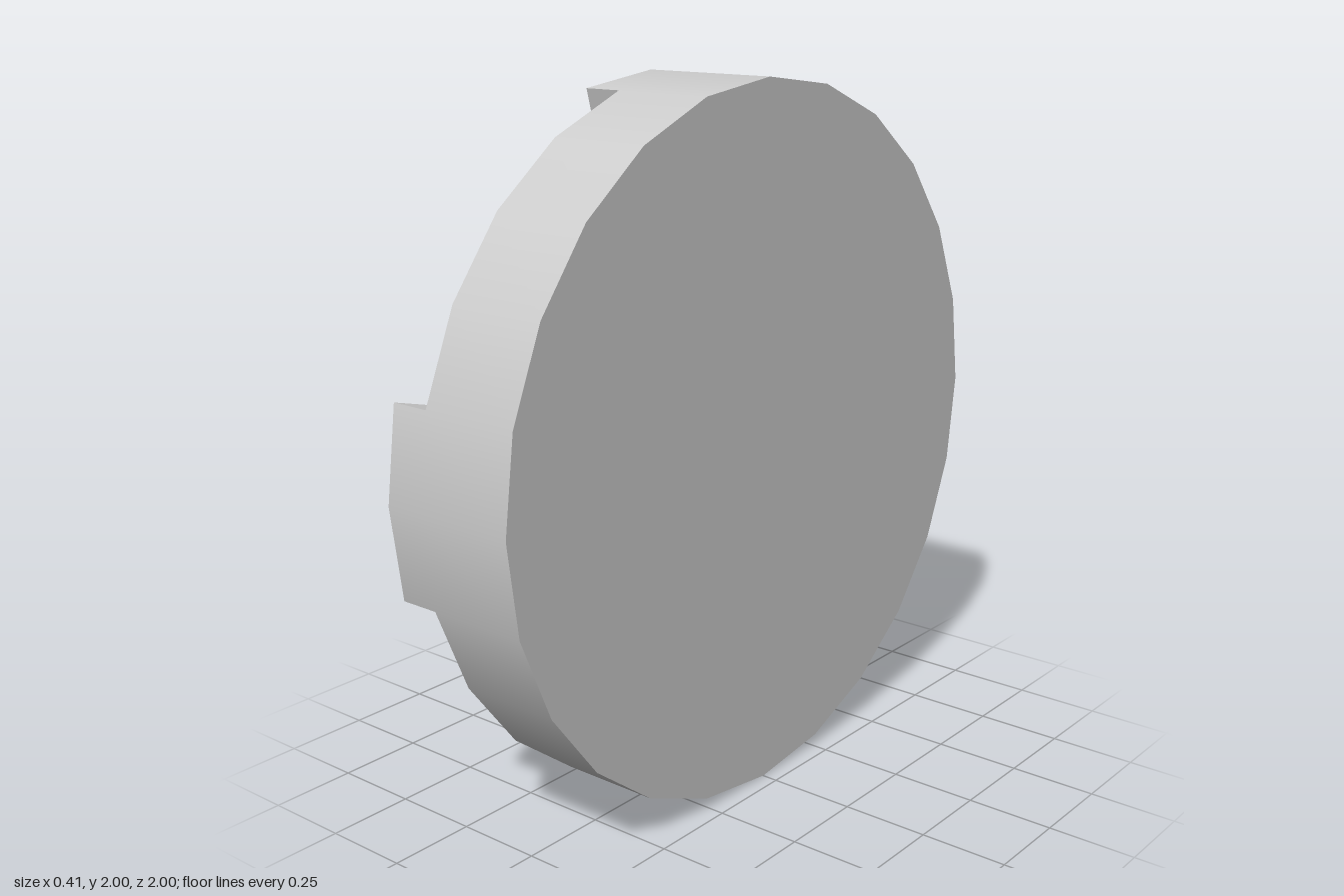
import * as THREE from 'three';
import { toCreasedNormals } from 'three/addons/utils/BufferGeometryUtils.js';

const SEGMENTS = 24;
const STEP = (Math.PI * 2) / SEGMENTS;
const HALF = 0.204;   // half of the total thickness
const BACK = -0.09;   // back face of the disc
const INNER = 0.715;  // inner radius of the tabs

// Block spanning two rim segments, centred on the given angle
function tabGeometry(angle) {
  const at = (r, k) => new THREE.Vector2(Math.cos(angle + k * STEP), Math.sin(angle + k * STEP)).multiplyScalar(r);
  const steps = [-1, 0, 1];
  const outline = [...steps.map(k => at(1, k)), ...steps.map(k => at(INNER, -k))];
  const extruded = new THREE.ExtrudeGeometry(new THREE.Shape(outline), { depth: HALF + BACK, bevelEnabled: false });
  const geometry = toCreasedNormals(extruded, THREE.MathUtils.degToRad(20));

  // Radial normals on the curved walls, so the shading runs on from the disc rim
  const { position, normal } = geometry.attributes;
  const p = new THREE.Vector3(), n = new THREE.Vector3();
  for (let i = 0; i < position.count; i++) {
    p.fromBufferAttribute(position, i).setZ(0).normalize();
    n.fromBufferAttribute(normal, i);
    const facing = n.dot(p);
    if (Math.abs(facing) > 0.9) {
      p.multiplyScalar(Math.sign(facing));
      normal.setXYZ(i, p.x, p.y, 0);
    }
  }
  return geometry.translate(0, 0, -HALF).rotateY(Math.PI / 2);
}

export function createModel() {
  const model = new THREE.Group();
  model.name = 'tabbedDisc';
  const material = new THREE.MeshStandardMaterial({ color: 0xcccccc });

  // Disc lying on the x axis
  const disc = new THREE.Mesh(new THREE.CylinderGeometry(1, 1, HALF - BACK, SEGMENTS), material);
  disc.geometry.rotateZ(-Math.PI / 2).translate((HALF + BACK) / 2, 0, 0);
  disc.name = 'disc';
  disc.position.y = 1;
  model.add(disc);

  // Four locking tabs around the back of the rim
  for (let i = 0; i < 4; i++) {
    const tab = new THREE.Mesh(tabGeometry((i * Math.PI) / 2), material);
    tab.name = `tab${i + 1}`;
    tab.position.y = 1;
    model.add(tab);
  }
  return model;
}
